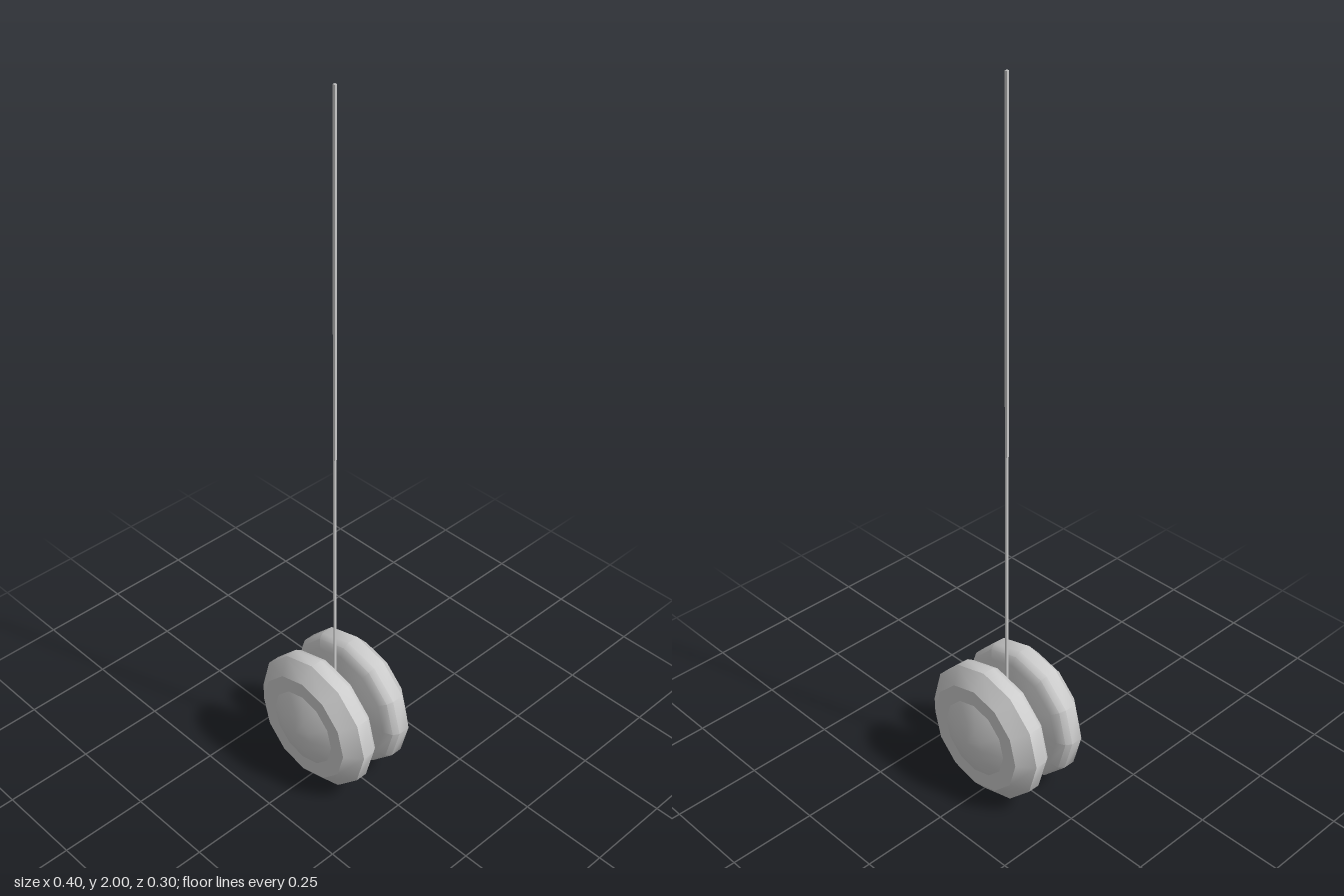
import * as THREE from 'three';
import { toCreasedNormals } from 'three/addons/utils/BufferGeometryUtils.js';

const SIDES = 12;
const CENTRE_Y = 0.2;

export function createModel() {
  const model = new THREE.Group();
  model.name = 'yoYo';
  const material = new THREE.MeshStandardMaterial({ color: 0xcccccc });

  function add(parent, name, geometry, x = 0, y = 0, z = 0) {
    const mesh = new THREE.Mesh(geometry, material);
    mesh.name = name;
    mesh.position.set(x, y, z);
    parent.add(mesh);
    return mesh;
  }

  // Turned shape about the z axis, from [radius, z] pairs
  function turned(profile, crease) {
    const points = profile.map(([r, z]) => new THREE.Vector2(r, z));
    const geometry = new THREE.LatheGeometry(points, SIDES).rotateX(Math.PI / 2);
    return toCreasedNormals(geometry, crease);
  }

  // Bevelled disc and the shallow cap on its outer face
  const disc = turned([
    [0, 0.021], [0.165, 0.022], [0.19, 0.034], [0.2, 0.05],
    [0.2, 0.085], [0.157, 0.121], [0, 0.121],
  ], 0.6);
  const cap = turned([[0.113, 0.12], [0.057, 0.146], [0, 0.149]], 0.8);

  // Two facing halves
  for (const [name, turn] of [['frontHalf', 0], ['backHalf', Math.PI]]) {
    const half = new THREE.Group();
    half.name = name;
    half.position.y = CENTRE_Y;
    half.rotation.y = turn;
    add(half, 'disc', disc);
    add(half, 'cap', cap);
    model.add(half);
  }

  // Axle joining the halves
  const axle = new THREE.CylinderGeometry(0.03, 0.03, 0.05, SIDES).rotateX(Math.PI / 2);
  add(model, 'axle', axle, 0, CENTRE_Y);

  // String: thinner lower length, thicker upper length
  const lowEnd = CENTRE_Y + 0.02, join = 1.03;
  add(model, 'lowerString', new THREE.BoxGeometry(0.005, join - lowEnd, 0.007), 0, (join + lowEnd) / 2);
  add(model, 'upperString', new THREE.BoxGeometry(0.007, 2 - join, 0.007), 0, (2 + join) / 2);

  return model;
}
